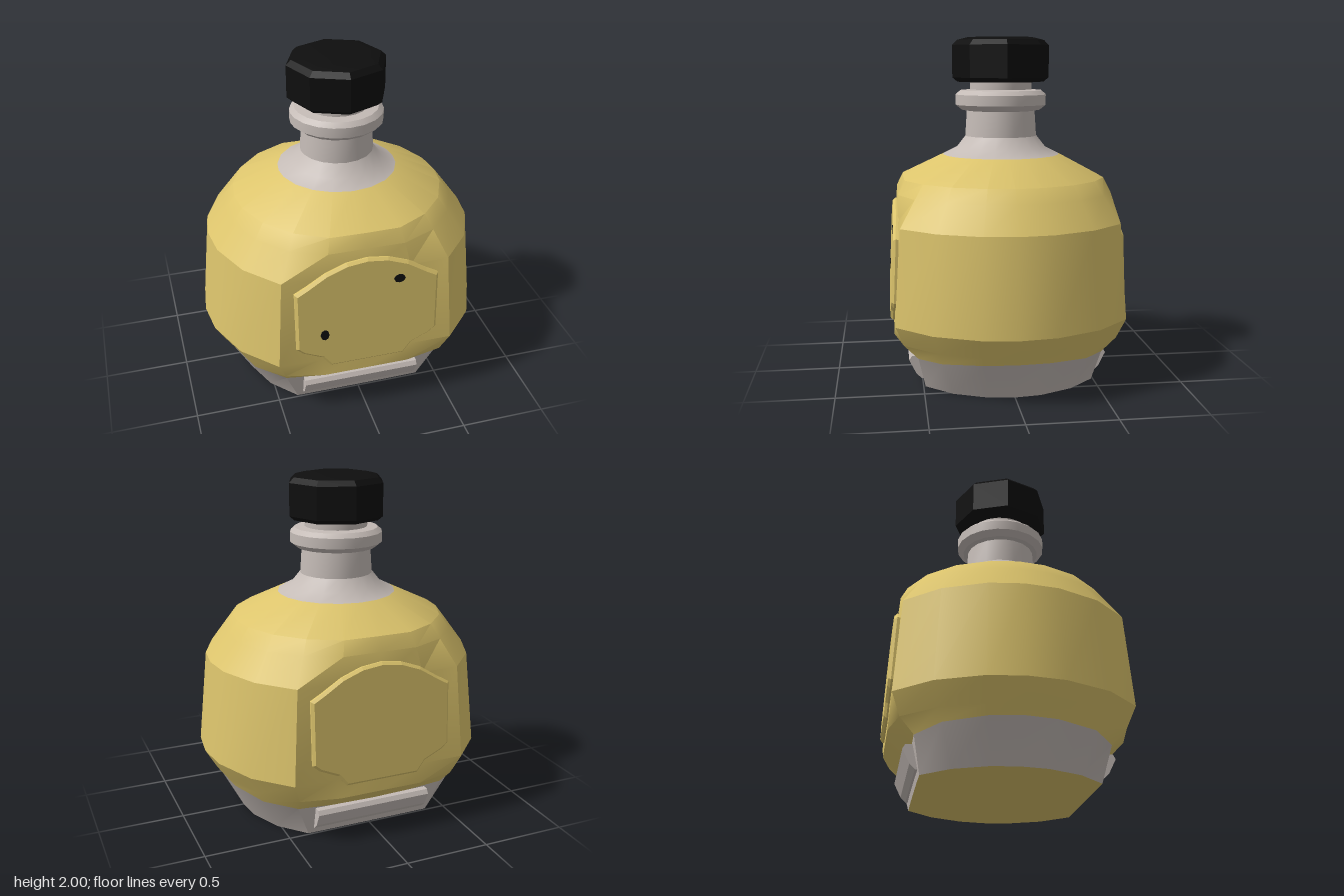
import * as THREE from 'three';
import { toCreasedNormals } from 'three/addons/utils/BufferGeometryUtils.js';

const material = (name, color) => {
  const m = new THREE.MeshStandardMaterial({ color });
  m.name = name;
  return m;
};

// Closed ring of a circle of radius r, cut flat at z = +-cut
const QUARTER = [0, 14, 33, 52, 71];
const ANGLES = [
  ...QUARTER, 90, ...QUARTER.slice(1).reverse().map((a) => 180 - a),
  ...QUARTER.map((a) => 180 + a), 270, ...QUARTER.slice(1).reverse().map((a) => 360 - a),
].map(THREE.MathUtils.degToRad);

function ring({ y, r, cut = r, dip = 0 }) {
  return ANGLES.map((a) => [
    r * Math.cos(a),
    y - dip * Math.sin(a) ** 2,
    THREE.MathUtils.clamp(r * Math.sin(a), -cut, cut),
  ]);
}

// Skin the rings from bottom to top; each band uses its ring's material index
function loft(rings) {
  const n = ANGLES.length;
  const geo = new THREE.BufferGeometry();
  const index = [];
  for (let i = 0; i < rings.length - 1; i++) {
    geo.addGroup(index.length, n * 6, rings[i].mat);
    for (let j = 0; j < n; j++) {
      const a = i * n + j, b = i * n + ((j + 1) % n);
      index.push(a, a + n, b, b, a + n, b + n);
    }
  }
  geo.setAttribute('position', new THREE.Float32BufferAttribute(rings.flatMap(ring).flat(), 3));
  geo.setIndex(index);
  return toCreasedNormals(geo, 0.5);
}

export function createModel() {
  const gold = material('gold liquid', 0xdcc46c);
  const glass = material('pale glass', 0xc4bbb6);
  const black = material('black', 0x0e0e0e);
  const model = new THREE.Group();
  model.name = 'bottle';

  const add = (parent, name, geo, mat) => {
    const mesh = new THREE.Mesh(geo, mat);
    mesh.name = name;
    parent.add(mesh);
    return mesh;
  };

  // Body, shoulders, neck and lip: 0 = gold, 1 = glass
  add(model, 'bottleBody', loft([
    { y: 0, r: 0.001, mat: 0 },
    { y: 0, r: 0.62, cut: 0.49, mat: 1 },
    { y: 0.23, r: 0.74, cut: 0.53, dip: 0.06, mat: 0 },
    { y: 0.28, r: 0.775, cut: 0.66, mat: 0 },
    { y: 0.4, r: 0.845, cut: 0.657, mat: 0 },
    { y: 0.95, r: 0.79, cut: 0.632, mat: 0 },
    { y: 1.1, r: 0.68, cut: 0.625, mat: 0 },
    { y: 1.18, r: 0.62, cut: 0.59, mat: 0 },
    { y: 1.31, r: 0.35, mat: 1 },
    { y: 1.35, r: 0.27, mat: 1 },
    { y: 1.42, r: 0.215, mat: 1 },
    { y: 1.57, r: 0.205, mat: 1 },
    { y: 1.575, r: 0.235, mat: 1 },
    { y: 1.605, r: 0.272, mat: 1 },
    { y: 1.665, r: 0.272, mat: 1 },
    { y: 1.69, r: 0.245, mat: 1 },
    { y: 1.695, r: 0.185, mat: 1 },
    { y: 1.77, r: 0.185, mat: 1 },
  ]), [gold, glass]);

  // Eight-sided cap with bevelled rims
  const capProfile = [[0.001, 1.74], [0.26, 1.74], [0.29, 1.765], [0.29, 1.955], [0.26, 1.985], [0.2, 2], [0.001, 2]];
  add(model, 'cap', toCreasedNormals(new THREE.LatheGeometry(
    capProfile.map(([x, y]) => new THREE.Vector2(x, y)), 8), 0.3), black);

  // Raised label panel: arched top, stepped lower corners
  const half = [[0.22, 0.36], [0.27, 0.425], [0.38, 0.475], [0.42, 0.51], [0.42, 0.88], [0.35, 0.92], [0.24, 0.99], [0.12, 1.035]];
  const outline = [...half, [0, 1.05], ...half.map(([x, y]) => [-x, y]).reverse()];
  const labelGeo = new THREE.ExtrudeGeometry(
    new THREE.Shape(outline.map(([x, y]) => new THREE.Vector2(x, y))),
    { depth: 0.02, bevelThickness: 0.015, bevelSize: 0.015, bevelOffset: -0.015, bevelSegments: 1 });
  labelGeo.translate(0, 0, -0.035);

  // Ledge along the foot of the flat faces
  const ledgeProfile = [[0.42, 0.02], [0.51, 0.04], [0.54, 0.07], [0.58, 0.15], [0.565, 0.175], [0.45, 0.18]];
  const ledgeGeo = new THREE.ExtrudeGeometry(
    new THREE.Shape(ledgeProfile.map(([z, y]) => new THREE.Vector2(z, y))),
    { depth: 0.7, bevelEnabled: false });
  ledgeGeo.rotateY(-Math.PI / 2).translate(0.35, 0, 0);

  for (const [side, turn] of [['front', 0], ['back', Math.PI]]) {
    const face = new THREE.Group();
    face.name = side + 'Face';
    face.rotation.y = turn;
    model.add(face);
    add(face, side + 'Ledge', ledgeGeo, glass);
    const label = add(face, side + 'Label', labelGeo, gold);
    label.position.z = 0.7;
    label.rotation.x = -0.045;

    // Two small dark spots on the front label
    if (side === 'front') {
      for (const [x, y, w, h] of [[0.185, 0.893, 0.034, 0.027], [-0.255, 0.59, 0.026, 0.034]]) {
        const spot = add(label, 'spot', new THREE.CylinderGeometry(1, 1, 0.006, 8).rotateX(Math.PI / 2), black);
        spot.scale.set(w, h, 1);
        spot.position.set(x, y, 0.001);
      }
    }
  }
  return model;
}
